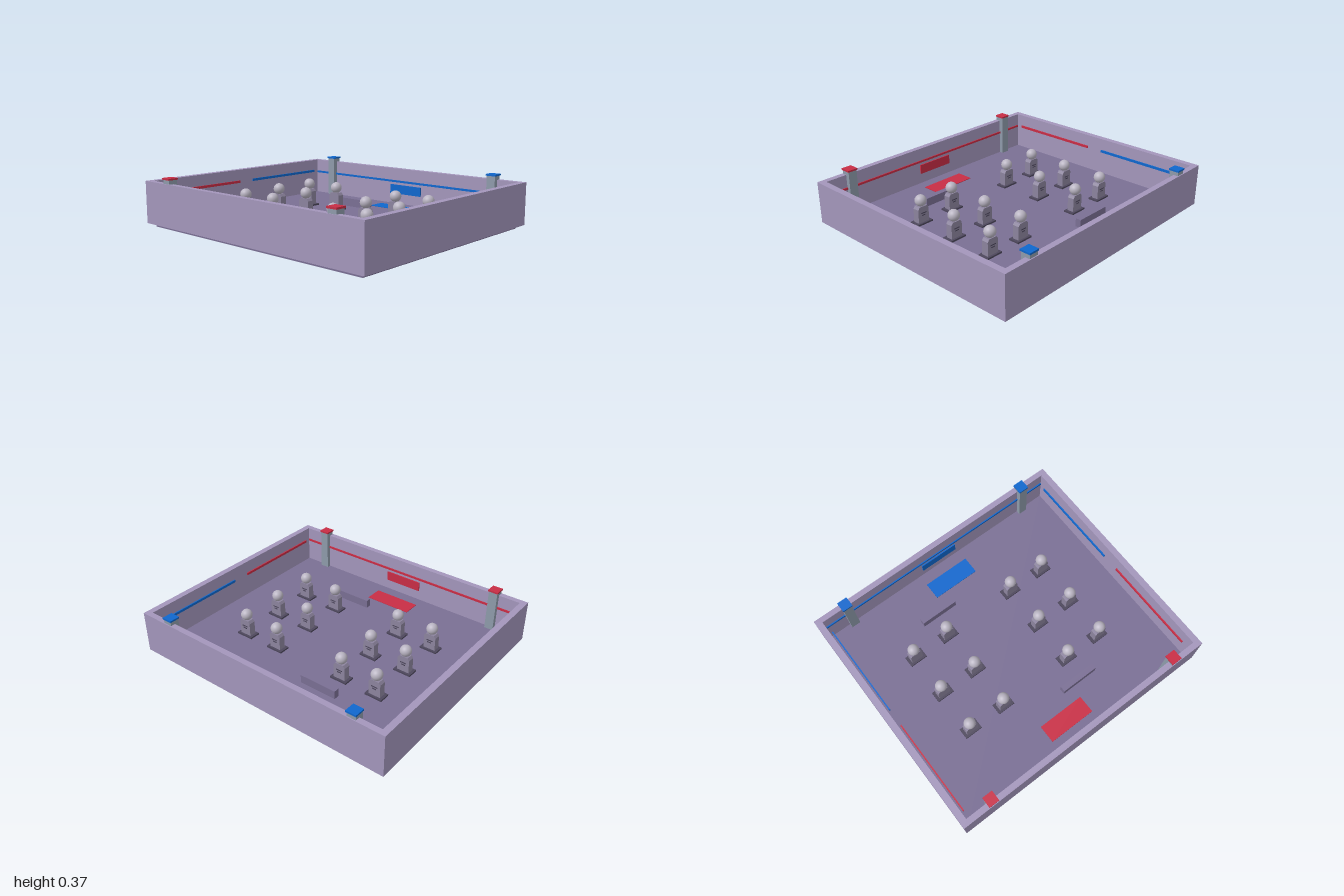
import * as THREE from 'three';

const mat = (name, color) => {
  const m = new THREE.MeshStandardMaterial({ color });
  m.name = name;
  return m;
};

export function createModel() {
  const wallMat = mat('lilac wall', 0xa396bb);
  const floorMat = mat('purple floor', 0x7a6f94);
  const red = mat('red', 0xc82d45);
  const blue = mat('blue', 0x0f67cd);
  const postMat = mat('blue grey post', 0x8e9aaa);
  const baseMat = mat('dark base', 0x4d475c);
  const bodyMat = mat('grey body', 0x8c849e);
  const ballMat = mat('pale ball', 0xb9b4c2);

  const model = new THREE.Group();
  model.name = 'arena';
  const FLOOR = 0.05;

  // Box given by its centre in x and z, and its bottom and top in y
  const box = (parent, name, material, w, d, x, z, y0, y1) => {
    const m = new THREE.Mesh(new THREE.BoxGeometry(w, y1 - y0, d), material);
    m.position.set(x, (y0 + y1) / 2, z);
    m.name = name;
    parent.add(m);
    return m;
  };

  // Floor slab
  box(model, 'floor', floorMat, 1.91, 1.652, 0, 0, 0, FLOOR);

  // Wall frame: a rectangle with a rectangular hole
  const rect = (T, a, b) => {
    const p = new T();
    p.moveTo(-a, -b);
    p.lineTo(a, -b);
    p.lineTo(a, b);
    p.lineTo(-a, b);
    p.closePath();
    return p;
  };
  const frame = rect(THREE.Shape, 1, 0.867);
  frame.holes.push(rect(THREE.Path, 0.955, 0.826));
  const wallGeo = new THREE.ExtrudeGeometry(frame, { depth: 0.302, bevelEnabled: false });
  wallGeo.rotateX(-Math.PI / 2);
  const walls = new THREE.Mesh(wallGeo, wallMat);
  walls.position.y = 0.025;
  walls.name = 'walls';
  model.add(walls);

  // The two team ends: s = 1 is the front (red), s = -1 the back (blue)
  for (const s of [1, -1]) {
    const team = s > 0 ? red : blue;
    const end = new THREE.Group();
    end.name = s > 0 ? 'frontEnd' : 'backEnd';
    model.add(end);

    box(end, 'endStripe', team, 1.9, 0.009, 0, s * 0.8225, 0.219, 0.234);
    box(end, 'endSign', team, 0.29, 0.009, 0, s * 0.818, 0.13, 0.2);
    box(end, 'floorPatch', team, 0.352, 0.13, 0, s * 0.675, FLOOR, FLOOR + 0.004);
    box(end, 'barrier', floorMat, 0.28, 0.042, s * 0.24, s * 0.502, FLOOR, 0.11);

    for (const x of [-1, 1]) {
      box(end, 'sideStripe', team, 0.009, 0.7, x * 0.936, s * 0.415, 0.228, 0.246);
      box(end, 'post', postMat, 0.066, 0.066, x * 0.763, s * 0.827, FLOOR, 0.355);
      box(end, 'postCap', team, 0.076, 0.076, x * 0.763, s * 0.827, 0.355, 0.367);
    }
  }

  // Pedestal body: upright slab with cut shoulders
  const outline = new THREE.Shape();
  outline.moveTo(-0.045, 0);
  outline.lineTo(0.045, 0);
  outline.lineTo(0.045, 0.1);
  outline.lineTo(0.032, 0.118);
  outline.lineTo(-0.032, 0.118);
  outline.lineTo(-0.045, 0.1);
  outline.closePath();
  const bodyGeo = new THREE.ExtrudeGeometry(outline, { depth: 0.05, bevelEnabled: false });
  bodyGeo.translate(0, 0, -0.025);
  const ballGeo = new THREE.SphereGeometry(0.041, 24, 16);

  for (const x of [-0.564, -0.282, 0.282, 0.564]) {
    for (const z of [-0.326, 0, 0.326]) {
      const figure = new THREE.Group();
      figure.name = 'figure';
      figure.position.set(x, FLOOR, z);
      model.add(figure);

      box(figure, 'figureBase', baseMat, 0.13, 0.08, 0, 0, 0, 0.012);
      const body = new THREE.Mesh(bodyGeo, bodyMat);
      body.position.y = 0.01;
      body.name = 'figureBody';
      const ball = new THREE.Mesh(ballGeo, ballMat);
      ball.position.y = 0.165;
      ball.name = 'figureBall';
      figure.add(body, ball);

      // Dark marks on the back
      box(figure, 'backMark', baseMat, 0.046, 0.004, 0, -0.026, 0.078, 0.085);
      box(figure, 'backMark', baseMat, 0.03, 0.004, 0, -0.026, 0.062, 0.069);
    }
  }

  return model;
}
